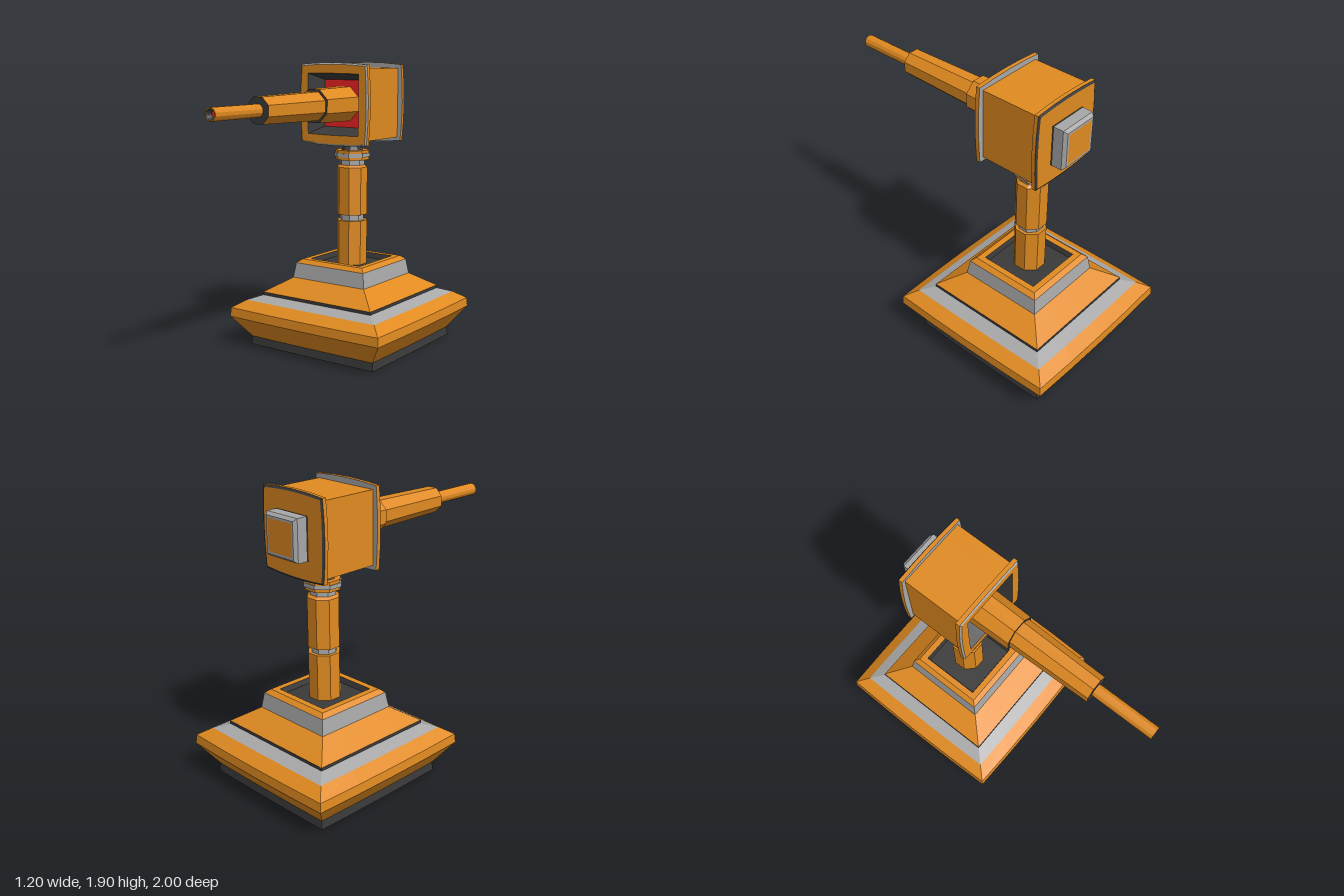
import * as THREE from 'three';

const mat = (color) => new THREE.MeshStandardMaterial({ color, flatShading: true });
const ORANGE = mat(0xe08a20), GREY = mat(0xa8a8a8), DARK = mat(0x3a3a3a), RED = mat(0xee2222);

// Square outline of half-size h whose sides bow outward by b, counter-clockwise from above
function squareRing(h, b = 0) {
  const pts = [], n = 4;
  for (let k = 0; k < 4; k++) {
    const c = Math.round(Math.cos(k * Math.PI / 2)), s = Math.round(Math.sin(k * Math.PI / 2));
    for (let i = 0; i < n; i++) {
      const t = -1 + 2 * i / n, u = h * t, v = h + b * (1 - t * t);
      pts.push([u * c + v * s, -u * s + v * c]);
    }
  }
  return pts;
}

// Regular polygon whose flats lie at distance r from the axis
const polygonRing = (sides) => (r) => Array.from({ length: sides }, (_, i) => {
  const a = (i + 0.5) * 2 * Math.PI / sides, R = r / Math.cos(Math.PI / sides);
  return [R * Math.sin(a), R * Math.cos(a)];
});

// Sweep a ring through a profile: start [size, y, bow], then steps [size, y, bow, material, name].
// The profile runs up the outside, across the top and down any recess.
function loft(name, ring, start, steps) {
  const group = new THREE.Group();
  group.name = name;
  let prev = start;
  for (const step of steps) {
    const lo = ring(prev[0], prev[2]), hi = ring(step[0], step[2]), pos = [];
    lo.forEach((p, i) => {
      const j = (i + 1) % lo.length;
      const a = [p[0], prev[1], p[1]], b = [lo[j][0], prev[1], lo[j][1]];
      const c = [hi[j][0], step[1], hi[j][1]], d = [hi[i][0], step[1], hi[i][1]];
      if (prev[0] > 0) pos.push(...a, ...b, ...c);
      else pos.push(...a, ...c, ...d);
      if (prev[0] > 0 && step[0] > 0) pos.push(...a, ...c, ...d);
    });
    const geo = new THREE.BufferGeometry();
    geo.setAttribute('position', new THREE.Float32BufferAttribute(pos, 3));
    geo.computeVertexNormals();
    const mesh = new THREE.Mesh(geo, step[3]);
    mesh.name = step[4];
    group.add(mesh);
    prev = step;
  }
  return group;
}

export function createModel() {
  const model = new THREE.Group();
  model.name = 'turret';
  const octagon = polygonRing(8);

  // Stepped pedestal with an open well in its top
  const base = loft('base', squareRing, [0, 0, 0], [
    [0.49, 0, 0.005, ORANGE, 'baseUnderside'],
    [0.485, 0.055, 0.005, DARK, 'baseFoot'],
    [0.59, 0.2, 0.01, ORANGE, 'baseLowerSlope'],
    [0.585, 0.26, 0.01, ORANGE, 'baseEdge'],
    [0.51, 0.31, 0.004, ORANGE, 'baseShoulder'],
    [0.43, 0.34, 0, GREY, 'baseGreyBand'],
    [0.43, 0.36, 0, DARK, 'baseDarkBand'],
    [0.285, 0.455, 0, ORANGE, 'baseUpperSlope'],
    [0.27, 0.555, 0, GREY, 'baseCollar'],
    [0.24, 0.58, 0, ORANGE, 'baseRimBevel'],
    [0.2, 0.58, 0, ORANGE, 'baseRim'],
    [0.19, 0.545, 0, DARK, 'wellWall'],
    [0, 0.545, 0, DARK, 'wellFloor'],
  ]);
  base.position.z = -0.4;
  model.add(base);

  // Octagonal mast, joints and neck
  const mast = loft('mast', octagon, [0.096, 0.54], [
    [0.096, 0.845, 0, ORANGE, 'mastLower'],
    [0.075, 0.845, 0, ORANGE, 'mastLowerTop'],
    [0.075, 0.885, 0, GREY, 'mastJoint'],
    [0.096, 0.885, 0, ORANGE, 'mastUpperBottom'],
    [0.096, 1.205, 0, ORANGE, 'mastUpper'],
    [0.078, 1.22, 0, ORANGE, 'mastUpperBevel'],
    [0.078, 1.255, 0, GREY, 'neckJoint'],
    [0.105, 1.255, 0, ORANGE, 'lowerFlangeBottom'],
    [0.105, 1.275, 0, ORANGE, 'lowerFlange'],
    [0.113, 1.275, 0, GREY, 'middleFlangeBottom'],
    [0.113, 1.3, 0, GREY, 'middleFlange'],
    [0.105, 1.3, 0, GREY, 'middleFlangeTop'],
    [0.105, 1.32, 0, ORANGE, 'upperFlange'],
    [0.07, 1.32, 0, ORANGE, 'upperFlangeTop'],
    [0.038, 1.36, 0, DARK, 'neckCone'],
    [0.038, 1.41, 0, GREY, 'neckPin'],
  ]);
  mast.position.z = -0.4;
  model.add(mast);

  // Head assembly is lofted along its own axis, then turned to face forward
  const head = new THREE.Group();
  head.name = 'head';
  head.rotation.x = Math.PI / 2;
  head.position.y = 1.63;
  model.add(head);

  // Housing with bowed end flanges, a rear pack and a recessed front opening
  head.add(loft('housing', squareRing, [0, -0.725, 0], [
    [0.1, -0.725, 0, ORANGE, 'rearPanel'],
    [0.115, -0.725, 0, GREY, 'rearPackFace'],
    [0.132, -0.705, 0, GREY, 'rearPackBevel'],
    [0.132, -0.64, 0, GREY, 'rearPackSide'],
    [0.132, -0.63, 0, DARK, 'rearPackSeal'],
    [0.24, -0.63, 0.012, ORANGE, 'rearFlangeFace'],
    [0.252, -0.622, 0.014, DARK, 'rearFlangeTrim'],
    [0.252, -0.597, 0.014, ORANGE, 'rearFlangeEdge'],
    [0.23, -0.597, 0, GREY, 'rearFlangeInner'],
    [0.23, -0.205, 0, ORANGE, 'housingBox'],
    [0.256, -0.205, 0.012, GREY, 'frontFlangeInner'],
    [0.256, -0.178, 0.012, ORANGE, 'frontFlangeEdge'],
    [0.246, -0.17, 0.011, GREY, 'frontFlangeTrim'],
    [0.197, -0.17, 0.003, ORANGE, 'frontFrame'],
    [0.155, -0.3, 0, DARK, 'openingWall'],
    [0, -0.3, 0, RED, 'openingBack'],
  ]));

  // Stepped barrel
  head.add(loft('barrel', octagon, [0.112, -0.3], [
    [0.105, 0.04, 0, ORANGE, 'barrelRear'],
    [0.09, 0.04, 0, DARK, 'barrelRearEnd'],
    [0.08, 0.59, 0, ORANGE, 'barrelMiddle'],
    [0, 0.59, 0, DARK, 'barrelMiddleEnd'],
  ]));
  head.add(loft('muzzle', polygonRing(12), [0.039, 0.57], [
    [0.039, 1, 0, ORANGE, 'muzzleTube'],
    [0.032, 1, 0, ORANGE, 'muzzleRim'],
    [0.022, 0.96, 0, DARK, 'muzzleBore'],
    [0, 0.96, 0, RED, 'muzzleCore'],
  ]));

  return model;
}
